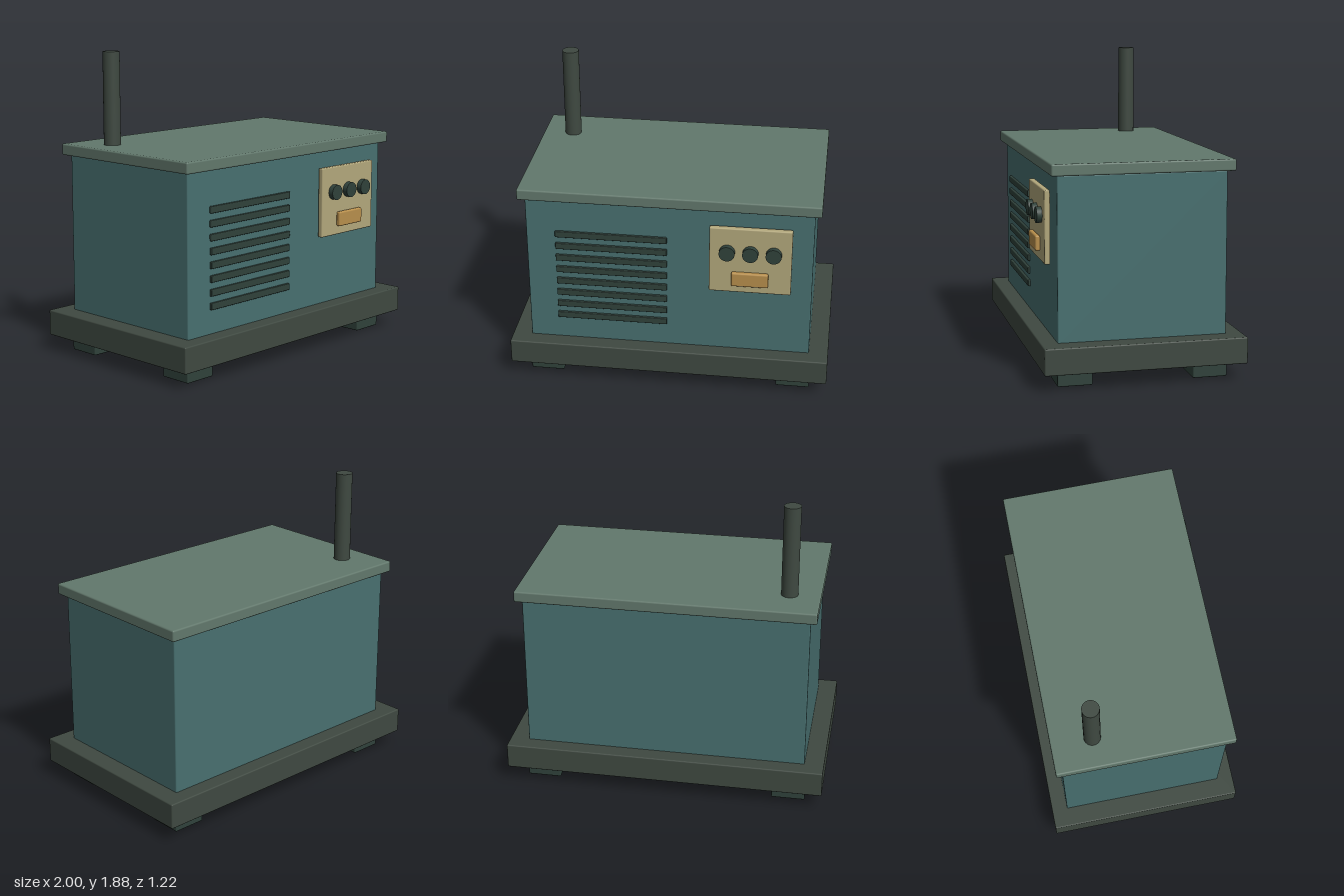
import * as THREE from 'three';
import { RoundedBoxGeometry } from 'three/addons/geometries/RoundedBoxGeometry.js';

const mat = (color) => new THREE.MeshStandardMaterial({ color });

export function createModel() {
  const model = new THREE.Group();
  const teal = mat(0x487070), sage = mat(0x62786c), iron = mat(0x3f4941);
  const dark = mat(0x30423b), cream = mat(0xb3a87c), brass = mat(0xb88f4c);

  function add(name, geometry, material, x, y, z) {
    const mesh = new THREE.Mesh(geometry, material);
    mesh.name = name;
    mesh.position.set(x, y, z);
    model.add(mesh);
    return mesh;
  }
  // Softly bevelled box, placed by its centre
  const box = (name, material, [w, h, d], [x, y, z], r = 0.008) =>
    add(name, new RoundedBoxGeometry(w, h, d, 2, r), material, x, y, z);

  // Skid base on four feet
  box('base', iron, [2, 0.16, 1.22], [0, 0.18, 0]);
  for (const x of [-0.785, 0.785])
    for (const z of [-0.41, 0.41])
      box('foot', dark, [0.21, 0.11, 0.21], [x, 0.055, z]);

  // Housing and overhanging lid
  box('housing', teal, [1.76, 0.99, 1.02], [0, 0.745, 0]);
  box('lid', sage, [1.84, 0.07, 1.1], [0, 1.275, 0], 0.01);

  // Exhaust pipe
  add('exhaustPipe', new THREE.CylinderGeometry(0.052, 0.052, 0.58, 32), iron, -0.73, 1.59, -0.295);

  // Ventilation slats
  for (let i = 0; i < 8; i++)
    box('ventSlat', dark, [0.69, 0.042, 0.02], [-0.355, 0.427 + i * 0.0825, 0.515], 0.005);

  // Control panel with three knobs and a handle
  box('controlPanel', cream, [0.5, 0.44, 0.035], [0.503, 0.92, 0.543]);
  for (const x of [0.362, 0.503, 0.644]) {
    const knob = add('knob', new THREE.CylinderGeometry(0.048, 0.048, 0.035, 32), dark, x, 0.98, 0.575);
    knob.rotation.x = Math.PI / 2;
  }
  box('handle', brass, [0.225, 0.093, 0.03], [0.503, 0.803, 0.575], 0.01);

  return model;
}
